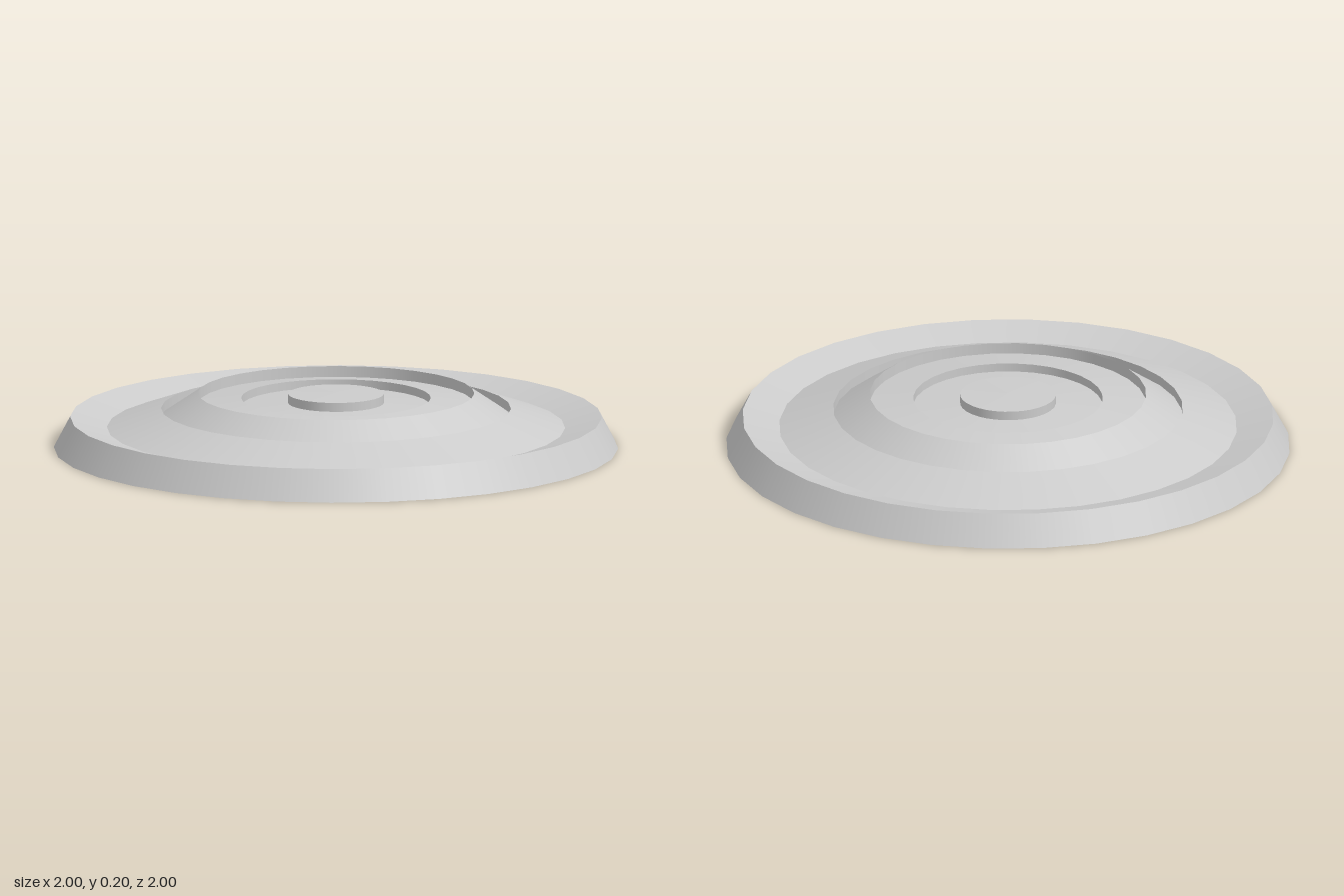
import * as THREE from 'three';
import { mergeGeometries } from 'three/addons/utils/BufferGeometryUtils.js';

const SEGMENTS = 32;
const material = new THREE.MeshStandardMaterial({ color: 0xcccccc });

const lathe = (profile) =>
  new THREE.LatheGeometry(profile.map(([r, y]) => new THREE.Vector2(r, y)), SEGMENTS);

function part(name, geometry) {
  const mesh = new THREE.Mesh(geometry, material);
  mesh.name = name;
  return mesh;
}

// Turned surface: smooth around the axis, sharp at every corner of the profile.
function turned(name, profile) {
  const bands = profile.slice(1).map((point, i) => lathe([profile[i], point]));
  return part(name, mergeGeometries(bands));
}

export function createModel() {
  const group = new THREE.Group();
  group.name = 'steppedDisc';

  // Shallow hollow underside, smooth from the centre to the rim
  const hollow = [];
  for (let i = 0; i <= 10; i++) {
    const r = i / 10;
    hollow.push([r, 0.065 * (1 - r ** 3)]);
  }
  group.add(part('underside', lathe(hollow)));

  // Sloping outer wall and inward-sloping lip
  group.add(turned('baseRim', [[1, 0], [0.942, 0.11], [0.812, 0.073]]));

  // Sloping rings, each ending in a small vertical drop on its inner side
  group.add(turned('outerRing', [[0.812, 0.073], [0.62, 0.142], [0.62, 0.108]]));
  group.add(turned('steepRing', [[0.62, 0.108], [0.49, 0.197], [0.49, 0.158]]));
  group.add(turned('innerRing', [[0.49, 0.158], [0.336, 0.18], [0.336, 0.15]]));

  // Gently rising floor around the slightly domed centre button
  group.add(turned('centreFloor', [[0.336, 0.15], [0.17, 0.163]]));
  group.add(turned('centreButton', [[0.17, 0.163], [0.17, 0.195], [0, 0.2]]));

  return group;
}
